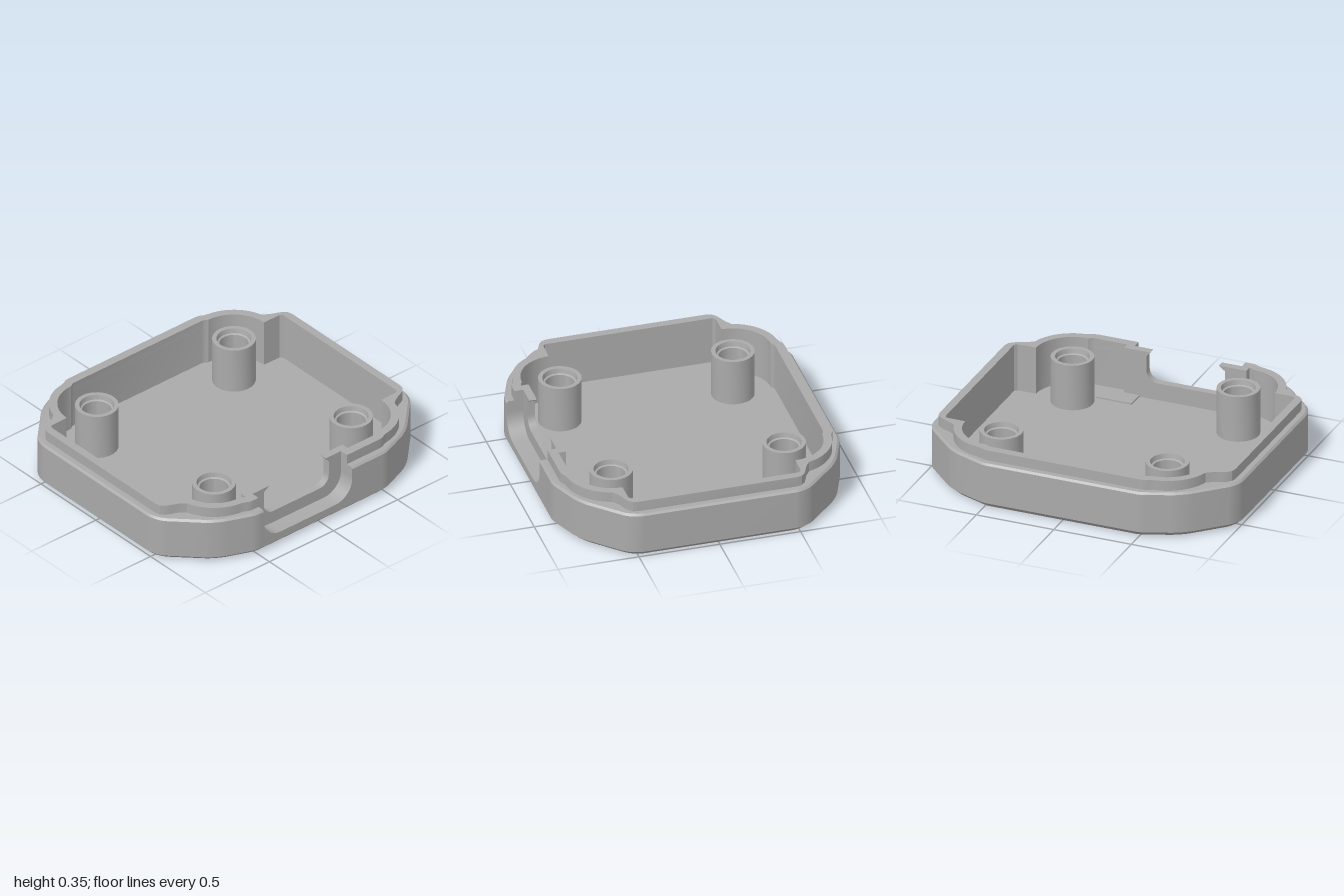
import * as THREE from 'three';
import { toCreasedNormals } from 'three/addons/utils/BufferGeometryUtils.js';

const V = (x, y) => new THREE.Vector2(x, y);
const FLOOR = 0.05, RIM = 0.29, TOP = 0.355;
const NOTCH_FRONT = 0.45, NOTCH_BACK = -0.24; // z limits of the side notch
const INNER_X = 0.787, BOSS = 0.535;

// Polyline with rounded corners; each corner is [x, y, cut length].
function fillet(corners) {
  return corners.flatMap(([x, y, cut], i) => {
    const p = V(x, y);
    if (!cut) return [p];
    const toward = (c, k) => p.clone().add(V(c[0], c[1]).sub(p).setLength(cut * k));
    const a = corners[i - 1], b = corners[i + 1];
    return new THREE.CubicBezierCurve(
      toward(a, 1), toward(a, 0.45), toward(b, 0.45), toward(b, 1)).getPoints(8);
  });
}

function arc(r, from, to) {
  return Array.from({ length: 13 }, (_, i) => {
    const t = THREE.MathUtils.degToRad(from + (to - from) * i / 12);
    return V(BOSS + r * Math.cos(t), BOSS + r * Math.sin(t));
  });
}

// Mirrors a quarter outline (from the +x side to the +z side) into a full one.
function mirrored(q) {
  const flip = (sx, sz) => q.map((p) => V(p.x * sx, p.y * sz));
  return [...q, ...flip(-1, 1).reverse(), ...flip(-1, -1), ...flip(1, -1).reverse()];
}

const inset = (pts, d) => pts.map((p) => V(p.x * (1 - d / 0.89), p.y * (1 - d)));

// Ring between two outlines, left open at the notch.
function openRing(outer, inner) {
  const open = (pts) => [V(pts[0].x, NOTCH_FRONT), ...pts, V(pts[0].x, NOTCH_BACK)];
  return [...open(outer), ...open(inner).reverse()];
}

// Solid through horizontal sections, each [y, outline].
function loft(levels) {
  const pos = [];
  const put = (p, y) => pos.push(p.x, y, p.y);
  for (let k = 0; k < levels.length - 1; k++) {
    const [y0, a] = levels[k], [y1, b] = levels[k + 1];
    a.forEach((p, i) => {
      const j = (i + 1) % a.length;
      put(p, y0); put(b[i], y1); put(a[j], y0);
      put(b[i], y1); put(b[j], y1); put(a[j], y0);
    });
  }
  const cap = ([y, pts], up) => {
    for (const f of THREE.ShapeUtils.triangulateShape(pts.slice(), [])) {
      (up ? [f[2], f[1], f[0]] : f).forEach((i) => put(pts[i], y));
    }
  };
  cap(levels[0], false);
  cap(levels[levels.length - 1], true);
  const g = new THREE.BufferGeometry();
  g.setAttribute('position', new THREE.Float32BufferAttribute(pos, 3));
  return toCreasedNormals(g, 0.4);
}

// Side profile (first coordinate is -z, second is y) extruded from x0 to x1.
function sidePlate(pts, x0, x1) {
  const g = new THREE.ExtrudeGeometry(new THREE.Shape(pts), { depth: x1 - x0, bevelEnabled: false });
  g.rotateY(Math.PI / 2).translate(x0, 0, 0);
  return toCreasedNormals(g, 0.4);
}

export function createModel() {
  const group = new THREE.Group();
  const grey = new THREE.MeshStandardMaterial({ color: 0xaaaaaa });
  grey.name = 'grey plastic';
  const add = (name, geometry) => {
    const mesh = new THREE.Mesh(geometry, grey);
    mesh.name = name;
    group.add(mesh);
    return mesh;
  };

  // Outlines seen from above
  const outer = mirrored(fillet([
    [0.89, 0.47], [0.89, 0.507, 0.03], [0.796, 0.744, 0.07], [0.54, 1, 0.07], [0.46, 1]]));
  const lip = mirrored([
    V(0.842, 0.49), V(0.838, 0.52), V(0.825, 0.545), ...arc(0.285, 8, 75),
    V(0.58, 0.85), V(0.563, 0.89), V(0.546, 0.925), V(0.523, 0.947), V(0.49, 0.955)]);
  const cavity = mirrored([
    V(INNER_X, 0.5), V(0.782, 0.518), V(0.769, 0.535), ...arc(0.235, 4, 90),
    V(0.533, 0.89), V(0.518, 0.905)]);

  // Base with chamfered lower edge
  add('base', loft([[0, inset(outer, 0.03)], [0.03, outer], [FLOOR, outer]]));

  // Outer wall with small top chamfer, and the raised lip on it
  const wall = openRing(outer, cavity);
  add('outerWall', loft([
    [FLOOR, wall], [0.278, wall], [RIM, openRing(inset(outer, 0.012), cavity)]]));
  const lipRing = openRing(lip, cavity);
  add('lip', loft([[RIM, lipRing], [TOP, lipRing]]));

  // Wall left under the rounded notch
  add('notchSill', sidePlate(fillet([
    [-NOTCH_FRONT, FLOOR], [-NOTCH_BACK, FLOOR], [-NOTCH_BACK, 0.211],
    [-NOTCH_BACK, 0.08, 0.13], [-NOTCH_FRONT, 0.08, 0.13], [-NOTCH_FRONT, 0.211]]),
  INNER_X, 0.89));

  // Thin inner plate with the smaller opening and its hooked tips
  add('notchPlate', sidePlate(fillet([
    [-0.5, FLOOR], [0.29, FLOOR], [0.29, TOP], [0.12, TOP], [0.145, 0.325],
    [0.145, 0.16, 0.07], [-0.36, 0.16, 0.07], [-0.36, 0.325], [-0.32, TOP], [-0.5, TOP]]),
  0.74, INNER_X));

  // Low pad on the floor beside the notch
  add('floorPad', new THREE.BoxGeometry(0.137, 0.02, 0.23)).position.set(0.69, FLOOR, -0.305);

  // Four hollow screw posts
  const post = toCreasedNormals(new THREE.LatheGeometry([
    V(0.13, FLOOR), V(0.13, 0.345), V(0.104, 0.345), V(0.098, 0.315),
    V(0.087, 0.31), V(0.087, FLOOR)], 32), 0.4);
  for (const x of [-BOSS, BOSS]) {
    for (const z of [-BOSS, BOSS]) add('screwPost', post).position.set(x, 0, z);
  }
  return group;
}
